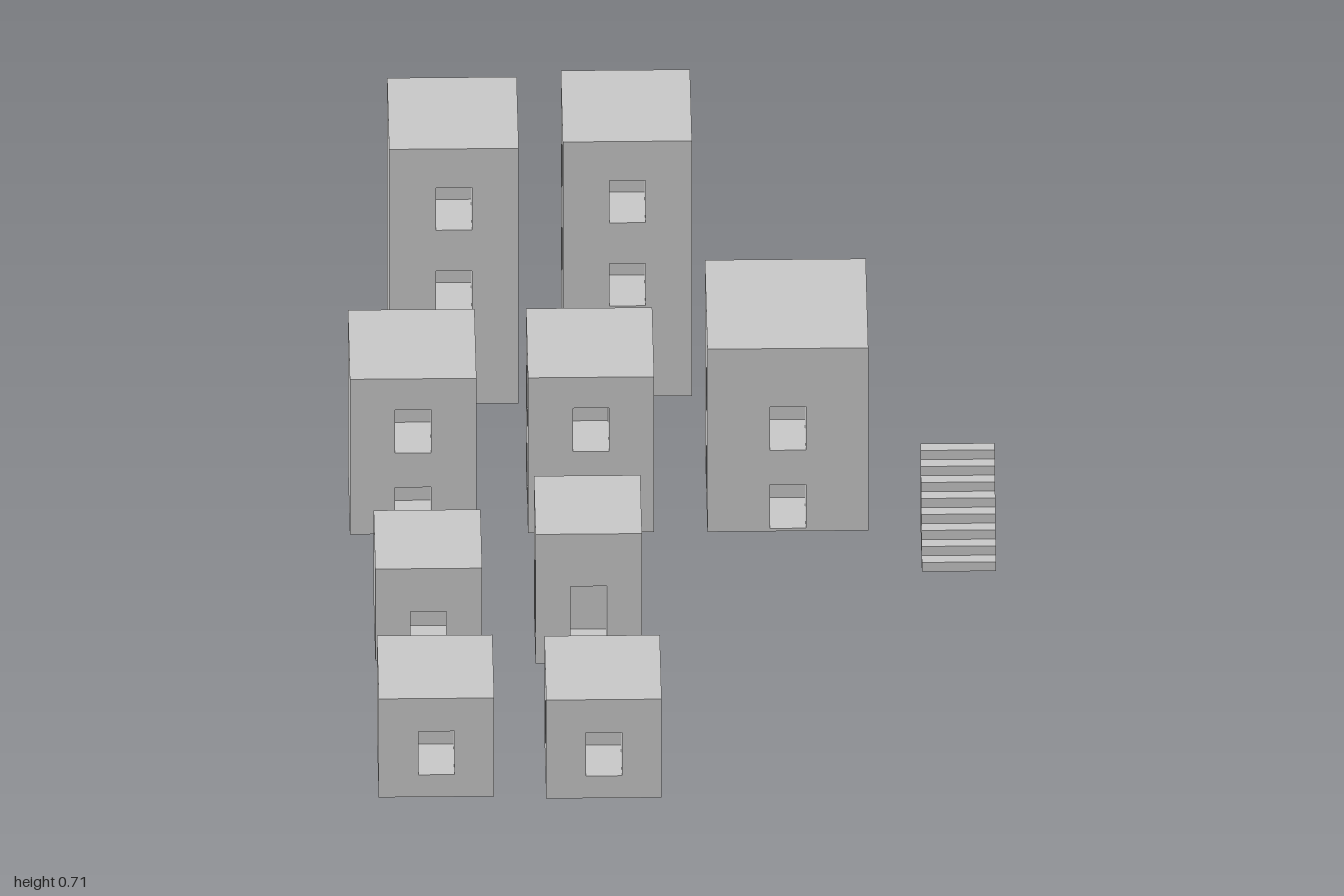
import * as THREE from 'three';
import { mergeGeometries } from 'three/addons/utils/BufferGeometryUtils.js';

const OPENING_WIDTH = 0.084;

// Blind recess behind an opening: an inward-facing box without its +z side
function recess(w, h, depth) {
  const box = new THREE.BoxGeometry(w, h, depth);
  const index = Array.from(box.index.array);
  index.splice(24, 6);
  box.setIndex(index.reverse());
  const g = box.toNonIndexed();
  g.computeVertexNormals();
  return g.translate(0, 0, -depth / 2);
}

// Wall panel facing +z, standing on y = 0, with openings given as [bottom, top]
function wall(w, h, openings = [], depth = 0.13) {
  const shape = new THREE.Shape([[-w / 2, 0], [w / 2, 0], [w / 2, h], [-w / 2, h]]
    .map(([x, y]) => new THREE.Vector2(x, y)));
  const r = OPENING_WIDTH / 2;
  const parts = [];
  for (const [bottom, top] of openings) {
    shape.holes.push(new THREE.Path([[-r, bottom], [-r, top], [r, top], [r, bottom]]
      .map(([x, y]) => new THREE.Vector2(x, y))));
    parts.push(recess(OPENING_WIDTH, top - bottom, depth).translate(0, (bottom + top) / 2, 0));
  }
  parts.push(new THREE.ShapeGeometry(shape).toNonIndexed());
  return mergeGeometries(parts);
}

// Box house with openings in the front and, if wanted, in the -x side
function house(w, h, d, openings, sideOpenings) {
  return mergeGeometries([
    wall(w, h, openings).translate(0, 0, d / 2),
    wall(w, h).rotateY(Math.PI).translate(0, 0, -d / 2),
    wall(d, h).rotateY(Math.PI / 2).translate(w / 2, 0, 0),
    wall(d, h, sideOpenings ? openings : [], 0.08).rotateY(-Math.PI / 2).translate(-w / 2, 0, 0),
    wall(w, d).rotateX(-Math.PI / 2).translate(0, h, d / 2),
    wall(w, d).rotateX(Math.PI / 2).translate(0, 0, -d / 2),
  ]);
}

// Solid flight of steps rising towards -z
function stairs(x0, x1, zFront, zBack, height, count) {
  const run = (zFront - zBack) / count, rise = height / count;
  const shape = new THREE.Shape();
  shape.moveTo(0, 0);
  for (let i = 0; i < count; i++) {
    shape.lineTo(i * run, (i + 1) * rise);
    shape.lineTo((i + 1) * run, (i + 1) * rise);
  }
  shape.lineTo(count * run, 0);
  const g = new THREE.ExtrudeGeometry(shape, { depth: x1 - x0, bevelEnabled: false });
  return g.rotateY(Math.PI / 2).translate(x0, 0, zFront);
}

export function createModel() {
  const group = new THREE.Group();
  const material = new THREE.MeshStandardMaterial({ color: 0xcccccc, flatShading: true });
  const add = (name, geometry) => {
    const mesh = new THREE.Mesh(geometry, material);
    mesh.name = name;
    group.add(mesh);
    return mesh;
  };

  // Opening heights per storey
  const threeStorey = [[0.02, 0.14], [0.253, 0.371], [0.485, 0.603]];
  const twoStorey = [[0.008, 0.13], [0.226, 0.347]];
  const lowWindow = [[0.062, 0.183]];
  const lowDoor = [[0.01, 0.135]];
  const tallDoor = [[0.01, 0.215]];

  // name, x range, z range, height, openings, side openings
  const houses = [
    ['rightTower', -0.653, -0.351, -0.975, -0.673, 0.712, threeStorey, false],
    ['middleTower', -0.248, 0.053, -1.0, -0.698, 0.712, threeStorey, true],
    ['rightTwoStoreyHouse', -0.753, -0.458, -0.418, -0.125, 0.433, twoStorey, false],
    ['middleTwoStoreyHouse', -0.338, -0.044, -0.418, -0.125, 0.433, twoStorey, true],
    ['largeHouse', 0.08, 0.455, -0.5, -0.123, 0.51, twoStorey, true],
    ['rightCottage', -0.702, -0.453, 0.16, 0.408, 0.255, lowDoor, false],
    ['middleCottage', -0.329, -0.081, 0.181, 0.428, 0.361, tallDoor, true],
    ['rightFrontHut', -0.703, -0.434, 0.72, 0.987, 0.275, lowWindow, false],
    ['middleFrontHut', -0.313, -0.044, 0.727, 0.998, 0.275, lowWindow, true],
  ];
  for (const [name, x0, x1, z0, z1, h, openings, side] of houses) {
    add(name, house(x1 - x0, h, z1 - z0, openings, side))
      .position.set((x0 + x1) / 2, 0, (z0 + z1) / 2);
  }

  add('stairs', stairs(0.577, 0.75, 0.053, -0.176, 0.206, 8));
  return group;
}
